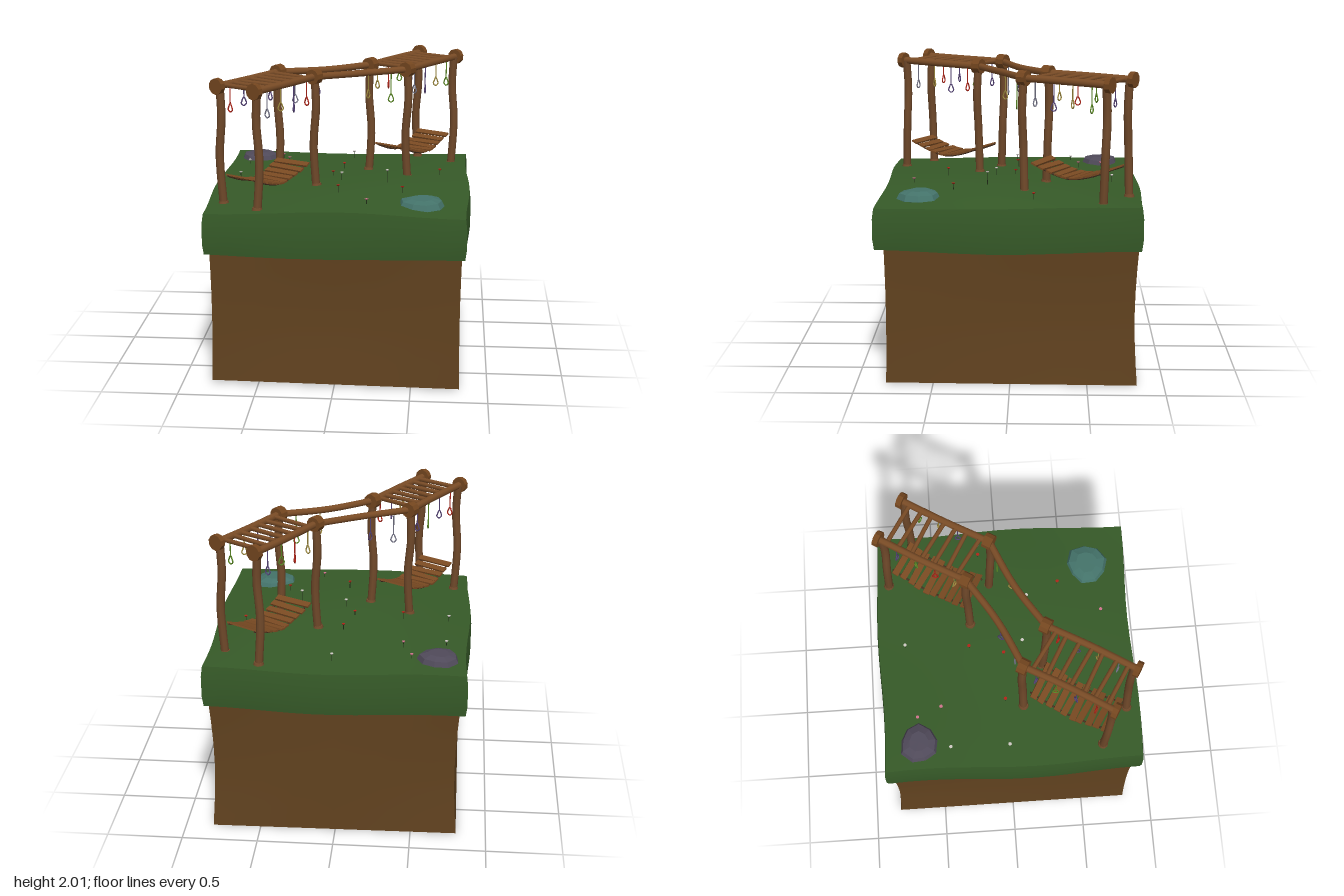
import * as THREE from 'three';
import { toCreasedNormals } from 'three/addons/utils/BufferGeometryUtils.js';

const V = (x, y, z) => new THREE.Vector3(x, y, z);
const mat = (color, flatShading = false) => new THREE.MeshStandardMaterial({ color, flatShading });
const M = {
  grass: mat(0x365a28), dirt: mat(0x61421f), post: mat(0x70492a), rail: mat(0x7a4c26),
  cap: mat(0x74461f, true), plank: mat(0x7a4a22, true), rope: mat(0x4a3222), stem: mat(0x26351c),
  red: mat(0xb02418), purple: mat(0x564478), green: mat(0x5c8a26), yellow: mat(0xa08c40),
  grey: mat(0x77778a), white: mat(0xcfc9c4), pink: mat(0xd0748c),
  teal: mat(0x44736a, true), slate: mat(0x504a5a, true),
};

function add(parent, name, geometry, material) {
  const mesh = new THREE.Mesh(geometry, material);
  mesh.name = name;
  parent.add(mesh);
  return mesh;
}

// Round bar through a few points, closed at both ends
function bar(parent, name, points, radius, material, sides = 8) {
  const curve = new THREE.CatmullRomCurve3(points);
  const segments = points.length > 2 ? 10 : 1;
  add(parent, name, new THREE.TubeGeometry(curve, segments, radius, sides), material);
  [0, 1].forEach((t) => {
    const end = add(parent, name + 'End', new THREE.CircleGeometry(radius, sides), material);
    end.position.copy(curve.getPoint(t));
    end.lookAt(end.position.clone().addScaledVector(curve.getTangent(t), t ? 1 : -1));
  });
}

// Move every vertex of a geometry by a rule
function warp(geometry, rule) {
  const p = geometry.attributes.position, v = V(0, 0, 0);
  for (let i = 0; i < p.count; i++) {
    v.fromBufferAttribute(p, i);
    rule(v);
    p.setXYZ(i, v.x, v.y, v.z);
  }
  geometry.computeVertexNormals();
  return geometry;
}

// Height of the gently domed lawn
const ground = (x, z) => 1.18 + 0.04 * Math.cos(x * 1.75) * Math.cos((z - 0.1) * 1.7)
  + 0.008 * Math.sin(x * 4 + z * 2);

function buildIsland(root) {
  // Grass slab: domed top, wavy outline, rounded upper rim
  const grass = warp(new THREE.BoxGeometry(1.71, 0.3, 1.72, 12, 4, 12), (v) => {
    const { x, z } = v, h = v.y / 0.3 + 0.5;
    const bulge = h > 0.99 ? 0.99 : h < 0.01 ? 0.99 : 1;
    v.x = x * bulge + 0.014 * Math.sin(z * 4.4 + 1) * Math.sign(x) * Math.min(1, Math.abs(x) * 1.2) + 0.004;
    v.z = z * bulge + 0.012 * Math.sin(x * 4.6 + 4) * Math.min(1, Math.abs(z) * 1.2);
    const bottom = 0.895 + 0.012 * Math.cos(x * 3.4) * Math.cos(z * 3);
    v.y = bottom + (ground(x, z) - bottom) * h;
  });
  add(root, 'grass', toCreasedNormals(grass, 0.6), M.grass);

  // Earth block with a slight waist
  const dirt = warp(new THREE.BoxGeometry(1.62, 0.92, 1.63, 6, 6, 6), (v) => {
    const h = v.y / 0.92 + 0.5, { x, z } = v;
    const waist = 1 - 0.03 * Math.sin(Math.PI * h) * (0.6 + 0.4 * Math.sin(x * 3 + z * 2));
    v.x = x * waist + 0.008;
    v.z = z * waist - 0.01;
    v.y = 0.012 + 0.92 * h - 0.012 * (x * 0.8 - z * 0.5) * (1 - h);
  });
  add(root, 'dirt', toCreasedNormals(dirt, 0.6), M.dirt);
}

// Flattened boulder with an irregular outline
function rock(root, x, z, rx, rz, turn, material) {
  const geometry = warp(new THREE.SphereGeometry(1, 9, 6), (v) => {
    const a = Math.atan2(v.z, v.x), r = 1 + 0.07 * Math.sin(3 * a + 1) + 0.04 * Math.sin(2 * a);
    v.set(v.x * r * rx, Math.min(v.y, 0.72 + 0.08 * v.x) * 0.075, v.z * r * rz);
  });
  const mesh = add(root, 'rock', geometry, material);
  mesh.position.set(x, 1.183, z);
  mesh.rotation.y = turn;
}

function flower(root, x, z, height, color) {
  const y = ground(x, z), g = new THREE.Group();
  g.name = 'flower';
  g.position.set(x, y, z);
  add(g, 'stem', new THREE.CylinderGeometry(0.002, 0.002, height, 5), M.stem).position.y = height / 2;
  add(g, 'bloom', new THREE.CylinderGeometry(0.012, 0.006, 0.008, 8), M[color]).position.y = height;
  root.add(g);
}

// Cord with a teardrop-shaped handle
function hangingLoop(parent, p, drop, color, turn) {
  const g = new THREE.Group();
  g.name = 'hangingLoop';
  g.position.copy(p);
  g.rotation.y = turn;
  add(g, 'cord', new THREE.CylinderGeometry(0.004, 0.004, drop, 5), M[color]).position.y = -drop / 2;
  const path = new THREE.CatmullRomCurve3([V(0, 0, 0), V(0.013, -0.025, 0), V(0.018, -0.042, 0),
    V(0, -0.058, 0), V(-0.018, -0.042, 0), V(-0.013, -0.025, 0)], true);
  add(g, 'handle', new THREE.TubeGeometry(path, 20, 0.0045, 6, true), M[color]).position.y = -drop;
  parent.add(g);
}

const TOP = 1.952;

// Thick disc threaded on a rail
function cap(parent, p, dir, length, radius) {
  const mesh = add(parent, 'railCap', new THREE.CylinderGeometry(radius, radius, length, 10), M.cap);
  mesh.position.copy(p);
  mesh.quaternion.setFromUnitVectors(V(0, 1, 0), dir);
}

// One ladder frame with its bridge, and one of the two linking rails
function buildHalf(root, name, lift, colors) {
  const g = new THREE.Group();
  g.name = name;
  root.add(g);
  const outer = [V(-0.755, TOP, 0.625), V(-0.495, TOP, 0.785)];
  const inner = [V(-0.43, TOP, 0.08), V(-0.17, TOP, 0.24)];
  const along = inner[0].clone().sub(outer[0]).normalize();
  const across = V(-along.z, 0, along.x);
  const yaw = Math.atan2(-across.z, across.x);
  let next = 0;

  [0, 1].forEach((i) => {
    const a = outer[i], b = inner[i];
    // Posts, a little bowed, each with a collar at the foot
    [a, b].forEach((top, k) => {
      const p = top.clone().addScaledVector(along, k ? 0 : 0.025);
      const bow = (i === k ? 1 : -1) * 0.009;
      bar(g, 'post', [V(p.x + bow, 1.15, p.z - bow), V(p.x - bow, 1.5, p.z), V(p.x + bow, 1.75, p.z + bow), p],
        0.027, M.post);
      add(g, 'postCollar', new THREE.CylinderGeometry(0.03, 0.036, 0.02, 10), M.post)
        .position.set(p.x + bow, ground(p.x, p.z) + 0.004, p.z - bow);
    });
    // Overhead rail with caps
    const mid = a.clone().lerp(b, 0.5).addScaledVector(across, 0.006);
    bar(g, 'rail', [a, mid, b], 0.024, M.rail);
    cap(g, a, along, 0.036, 0.053);
    cap(g, b, along, 0.06, 0.051);
    // Loops hanging from the rail
    [0.2, 0.42, 0.64, 0.86].forEach((t, k) => {
      hangingLoop(g, a.clone().lerp(b, t), [0.13, 0.11, 0.14, 0.12][k], colors[next++], yaw + k);
    });
  });

  // Rungs
  for (let k = 0; k < 7; k++) {
    const t = 0.1 + k * 0.133, skew = 0.012 * Math.sin(k * 2.3);
    bar(g, 'rung', [outer[0].clone().lerp(inner[0], t + skew), outer[1].clone().lerp(inner[1], t - skew)],
      0.015, M.rail, 7);
  }

  // Linking rail to the other frame
  const far = inner[1].clone().multiply(V(-1, 1, -1));
  const sway = inner[0].clone().lerp(far, 0.5).add(V(0.012, -0.006, 0.02));
  bar(g, 'linkRail', [inner[0], sway, far], 0.023, M.rail);
  [0.17, 0.42].forEach((t, k) => {
    const p = inner[0].clone().lerp(far, t).add(V(0.006, 0, 0.01));
    hangingLoop(g, p, k ? 0.12 : 0.16, colors[next++], k);
  });

  // Sagging plank bridge between the posts
  const start = outer[0].clone().lerp(outer[1], 0.5), end = inner[0].clone().lerp(inner[1], 0.5);
  const sag = (t) => {
    const p = start.clone().lerp(end, 0.05 + 0.9 * t);
    p.y = 1.295 + lift + 0.08 * Math.pow(Math.abs(2 * t - 1), 1.6);
    return p;
  };
  const count = 10;
  for (let k = 0; k < count; k++) {
    const t = (k + 0.5) / count;
    const plank = add(g, 'plank', new THREE.BoxGeometry(0.255 + 0.012 * Math.sin(k * 5), 0.012, 0.043), M.plank);
    const dir = sag(t + 0.02).sub(sag(t - 0.02)).normalize();
    plank.position.copy(sag(t));
    plank.quaternion.setFromRotationMatrix(
      new THREE.Matrix4().makeBasis(across, dir.clone().cross(across), dir));
    plank.rotateY(0.05 * Math.sin(k * 2.7));
  }
  [-1, 1].forEach((s) => {
    const points = [0, 0.25, 0.5, 0.75, 1].map((t) => sag(t).addScaledVector(across, s * 0.105).add(V(0, -0.009, 0)));
    bar(g, 'bridgeRope', points, 0.006, M.rope, 6);
  });
  return g;
}

export function createModel() {
  const root = new THREE.Group();
  root.name = 'playgroundIsland';
  buildIsland(root);

  buildHalf(root, 'frontLeftFrame', 0,
    ['red', 'purple', 'green', 'purple', 'grey', 'yellow', 'purple', 'red', 'grey', 'purple']);
  buildHalf(root, 'backRightFrame', 0.025,
    ['green', 'yellow', 'purple', 'grey', 'purple', 'green', 'red', 'yellow', 'green', 'yellow']).rotation.y = Math.PI;

  rock(root, -0.655, -0.62, 0.135, 0.13, 0.3, M.slate);
  rock(root, 0.555, 0.595, 0.145, 0.15, 1.1, M.teal);

  [[-0.48, -0.62, 'pink'], [-0.42, -0.46, 'pink'], [0.03, -0.68, 'white'], [-0.7, -0.41, 'white'],
    [-0.01, -0.25, 'red'], [-0.4, -0.03, 'red'], [-0.07, -0.02, 'red'], [-0.71, -0.02, 'white'],
    [0, 0.11, 'white'], [0.31, 0.16, 'white'], [0.42, 0.38, 'red'], [0, 0.44, 'red'],
    [0.2, 0.66, 'pink'], [0.66, -0.15, 'red']]
    .forEach(([x, z, color], i) => flower(root, x, z, i === 9 ? 0.085 : 0.03 + 0.01 * (i % 3), color));
  return root;
}
